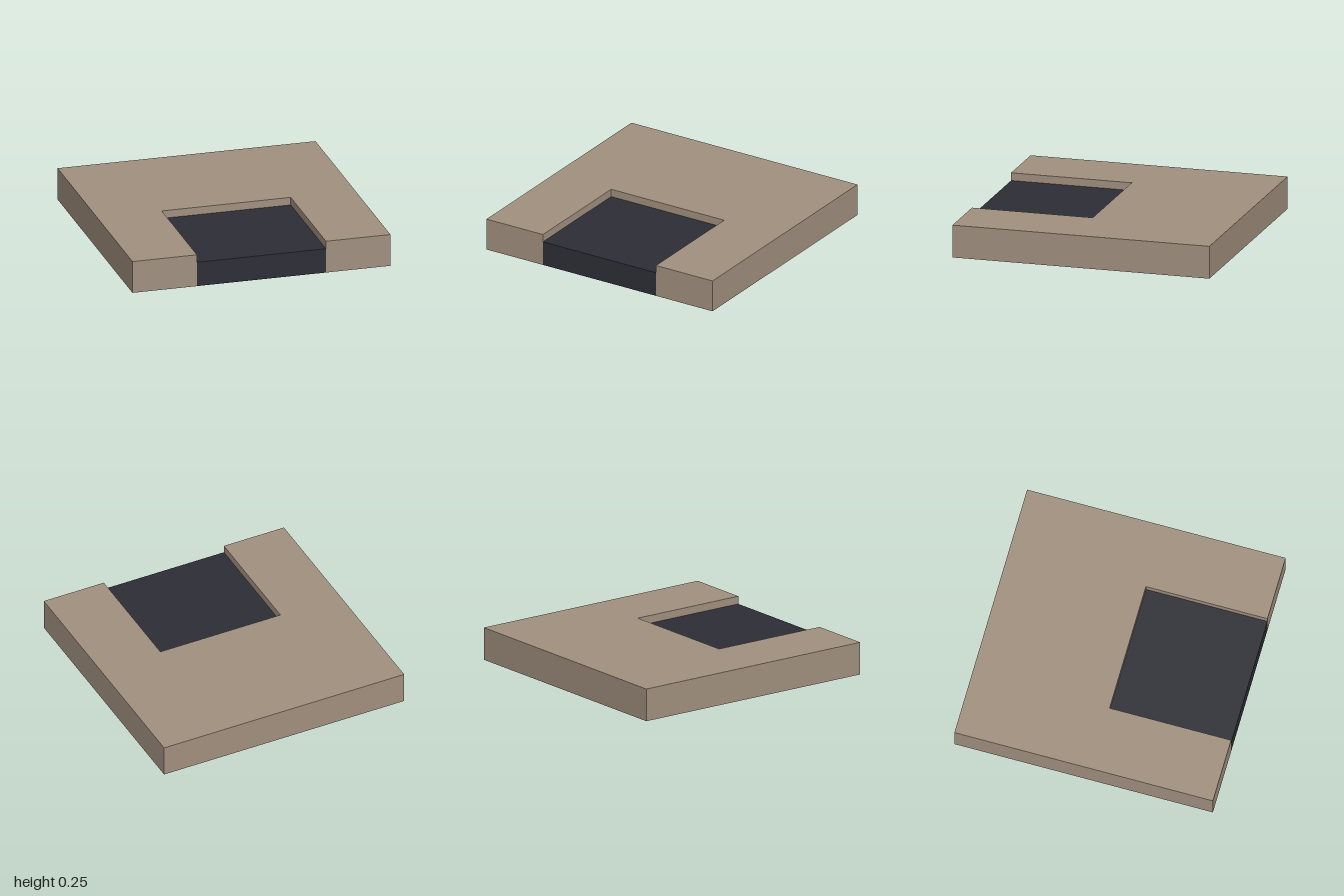
import * as THREE from 'three';

export function createModel() {
  const model = new THREE.Group();
  model.name = 'notchedTile';

  const stone = new THREE.MeshStandardMaterial({ color: 0xa08f7e });
  stone.name = 'warm stone';
  const dark = new THREE.MeshStandardMaterial({ color: 0x2d2d36 });
  dark.name = 'dark slate';

  const height = 0.25, notchHalf = 0.5, notchBack = 0.06, panelHeight = 0.19;

  // U-shaped slab with a notch open to the front (shape y is -z)
  const outline = new THREE.Shape([
    [-1, -1], [-notchHalf, -1], [-notchHalf, -notchBack], [notchHalf, -notchBack],
    [notchHalf, -1], [1, -1], [1, 1], [-1, 1],
  ].map(([x, y]) => new THREE.Vector2(x, y)));
  const slabGeometry = new THREE.ExtrudeGeometry(outline, { depth: height, bevelEnabled: false });
  slabGeometry.rotateX(-Math.PI / 2);
  const slab = new THREE.Mesh(slabGeometry, stone);
  slab.name = 'slab';
  model.add(slab);

  // Lower dark block filling the notch
  const depth = 1 - notchBack;
  const panel = new THREE.Mesh(new THREE.BoxGeometry(2 * notchHalf, panelHeight, depth), dark);
  panel.position.set(0, panelHeight / 2, notchBack + depth / 2);
  panel.name = 'recessedPanel';
  model.add(panel);

  return model;
}
